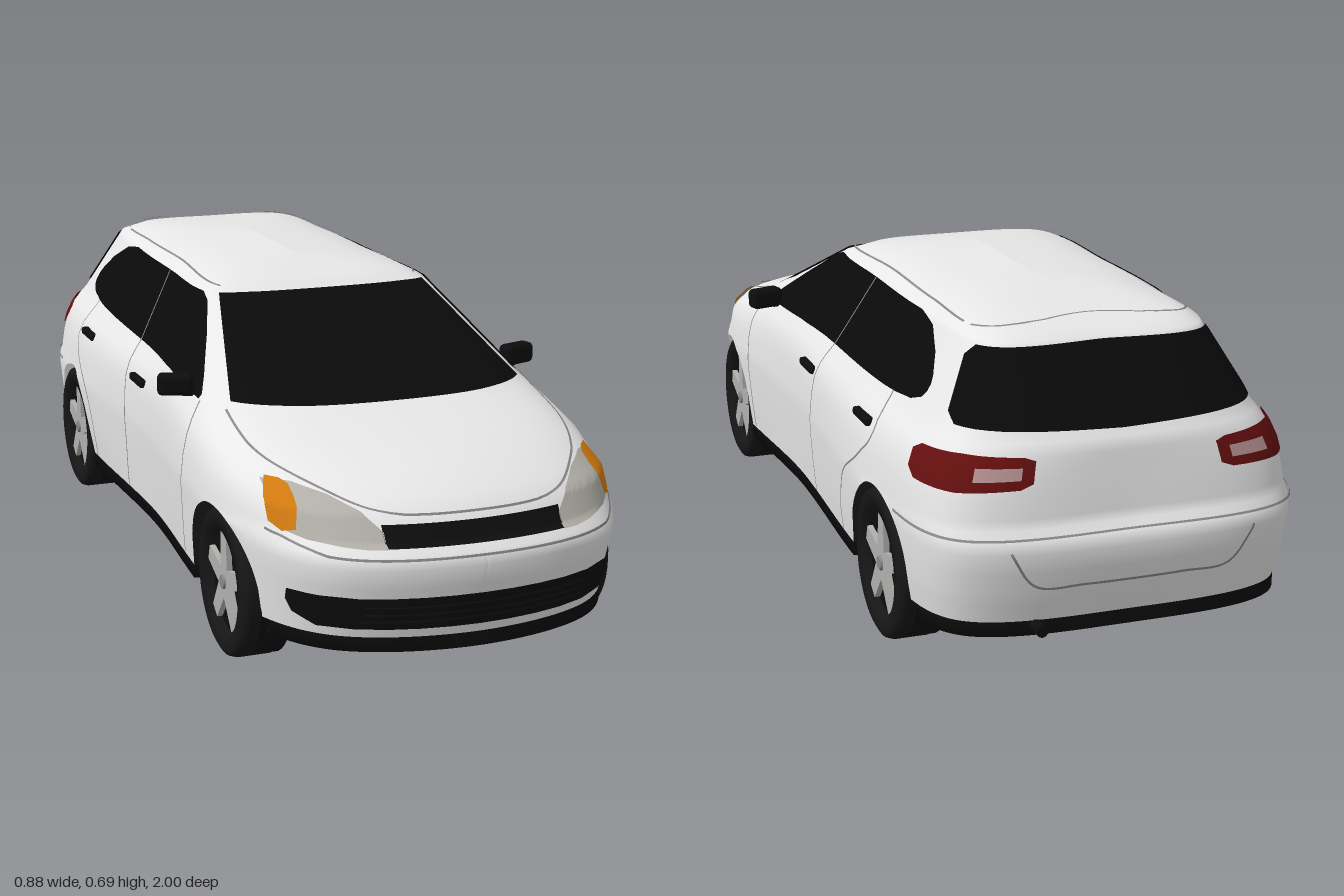
import * as THREE from 'three';
import { RoundedBoxGeometry } from 'three/addons/geometries/RoundedBoxGeometry.js';

const material = (name, color) =>
  new THREE.MeshStandardMaterial({ name, color, side: THREE.DoubleSide });

// Horizontal body outlines, from sill to roof:
// y, front z, front corner x z, front side x z, middle x, rear side x, rear corner z, rear z
const ROWS = [
  [0.135, 0.965, 0.28, 0.885, 0.395, 0.66, 0.385, 0.395, -0.91, -0.965],
  [0.2, 0.98, 0.28, 0.905, 0.402, 0.66, 0.39, 0.405, -0.925, -0.985],
  [0.28, 0.995, 0.29, 0.92, 0.408, 0.66, 0.395, 0.41, -0.94, -1.0],
  [0.305, 0.985, 0.29, 0.91, 0.409, 0.66, 0.396, 0.41, -0.935, -0.99],
  [0.32, 0.955, 0.285, 0.885, 0.407, 0.65, 0.396, 0.408, -0.92, -0.965],
  [0.37, 0.925, 0.285, 0.85, 0.4, 0.64, 0.393, 0.402, -0.91, -0.957],
  [0.41, 0.85, 0.27, 0.775, 0.385, 0.6, 0.388, 0.393, -0.9, -0.95],
  [0.44, 0.755, 0.26, 0.68, 0.37, 0.52, 0.378, 0.38, -0.89, -0.945],
  [0.465, 0.63, 0.25, 0.575, 0.352, 0.46, 0.362, 0.362, -0.88, -0.94],
  [0.485, 0.54, 0.22, 0.51, 0.337, 0.41, 0.347, 0.347, -0.865, -0.925],
  [0.64, 0.125, 0.18, 0.115, 0.25, 0.09, 0.262, 0.257, -0.785, -0.81],
  [0.662, 0.08, 0.16, 0.07, 0.21, 0.03, 0.22, 0.215, -0.73, -0.755],
  [0.677, -0.02, 0.09, -0.03, 0.13, -0.07, 0.14, 0.13, -0.57, -0.6],
  [0.685, -0.1, 0, -0.12, 0, -0.15, 0, 0, -0.35, -0.4],
];
const AXLES = [0.59, -0.63];
const WHEEL_R = 0.155, ARCH_R = 0.165;

const rings = ROWS.map(([y, zf, fx, fz, sx, sz, wm, rx, cz, zr]) => {
  const rz = 0.63 * zr;
  const half = [[fx, fz], [sx, sz], [wm, (sz + rz) / 2], [rx, rz], [0.84 * rx, cz]];
  const pts = [[0, zf], ...half, [0, zr], ...half.map(([x, z]) => [-x, z]).reverse()];
  return new THREE.CatmullRomCurve3(pts.map(([x, z]) => new THREE.Vector3(x, y, z)), true);
});

// Body surface point: u runs 0..12 round the car (0 front, 3 left, 6 rear, 9 right)
function at(u, y) {
  const t = (((u % 12) + 12) % 12) / 12;
  let k = 0;
  while (k < ROWS.length - 2 && ROWS[k + 1][0] <= y) k++;
  const f = (y - ROWS[k][0]) / (ROWS[k + 1][0] - ROWS[k][0]);
  return rings[k].getPoint(t).lerp(rings[k + 1].getPoint(t), f);
}

function normalAt(u, y) {
  const du = at(u + 0.01, y).sub(at(u - 0.01, y));
  const dy = at(u, y + 0.002).sub(at(u, y - 0.002));
  return du.cross(dy).normalize();
}

function solve(g, a, b) {
  for (let i = 0; i < 28; i++) {
    const m = (a + b) / 2;
    if (g(m) < 0) a = m; else b = m;
  }
  return a;
}

// Turn a coordinate seen from one direction into u
function toU(plane, c, y) {
  const s = c < 0 ? -1 : 1, x = Math.abs(c);
  if (plane === 'front') return s * solve((u) => at(u, y).x - x, 0, 2);
  if (plane === 'rear') { const u = solve((v) => x - at(v, y).x, 4, 6); return s > 0 ? u : 12 - u; }
  if (plane === 'side') return solve((u) => c - at(u, y).z, 0, 6);
  return c;
}

function grid(nu, nv, f) {
  const pos = [], idx = [];
  for (let j = 0; j <= nv; j++) for (let i = 0; i <= nu; i++) pos.push(...f(i, j).toArray());
  for (let j = 0; j < nv; j++) for (let i = 0; i < nu; i++) {
    const a = j * (nu + 1) + i, b = a + nu + 1;
    idx.push(a, a + 1, b + 1, a, b + 1, b);
  }
  const g = new THREE.BufferGeometry();
  g.setAttribute('position', new THREE.Float32BufferAttribute(pos, 3));
  g.setIndex(idx);
  g.computeVertexNormals();
  return g;
}

// Thin plate on the body; spans are [coordinate, low y, high y]
function patch(plane, spans, offset = 0.004, sgn = 1) {
  const segs = spans.length - 1, n = Math.max(8, Math.ceil(48 / segs));
  return grid(segs * n, 12, (i, j) => {
    const k = Math.min(Math.floor(i / n), segs - 1), f = i / n - k;
    const [c, lo, hi] = spans[k].map((v, m) => THREE.MathUtils.lerp(v, spans[k + 1][m], f));
    const y = THREE.MathUtils.lerp(lo, hi, j / 12), u = sgn * toU(plane, c, y);
    return at(u, y).addScaledVector(normalAt(u, y), offset);
  });
}

// Narrow ribbon following a path of [coordinate, y] on the body
function seam(plane, path, sgn = 1, width = 0.0025) {
  const n = 64;
  const curve = new THREE.CatmullRomCurve3(path.map(([c, y]) => new THREE.Vector3(c, y, 0)));
  const us = curve.getPoints(n).map((p) => [sgn * toU(plane, p.x, p.y), p.y]);
  const ps = us.map(([u, y]) => at(u, y));
  return grid(n, 1, (i, j) => {
    const nrm = normalAt(...us[i]);
    const tan = ps[Math.min(i + 1, n)].clone().sub(ps[Math.max(i - 1, 0)]).normalize();
    const side = nrm.clone().cross(tan).multiplyScalar(j ? width : -width);
    return ps[i].clone().add(side).addScaledVector(nrm, 0.0055);
  });
}

export function createModel() {
  const car = new THREE.Group();
  car.name = 'car';
  const paint = material('white paint', 0xe8e8e8), trim = material('black trim', 0x0d0d0d);
  const glass = material('dark glass', 0x0a0a0a), rubber = material('tyre rubber', 0x161616);
  const alloy = material('alloy', 0xb0b0ae), lamp = material('headlamp', 0xb2b0a8);
  const amber = material('amber', 0xd07a10), red = material('tail lamp red', 0x64100f);
  const clear = material('pale lens', 0xb49090), line = material('panel gap', 0x888888);
  const add = (name, geo, mat, parent = car) => {
    const m = new THREE.Mesh(geo, mat);
    m.name = name;
    parent.add(m);
    return m;
  };

  // Painted shell, its lower edge rising over the wheel arches
  const N = 432, JOIN = 0.34;
  const ys = [0.135, 0.17, 0.2, 0.24, 0.28, 0.305, 0.32, JOIN, 0.37, 0.39, 0.41, 0.425, 0.44, 0.452,
    0.465, 0.475, 0.485, 0.5, 0.55, 0.6, 0.63, 0.64, 0.65, 0.662, 0.67, 0.677, 0.681, 0.685];
  const lowEdge = (u) => {
    const z = at(u, 0.2).z;
    const d = Math.min(...AXLES.map((c) => Math.abs(z - c)));
    return d < ARCH_R ? WHEEL_R + Math.sqrt(ARCH_R ** 2 - d ** 2) : 0.135;
  };
  add('bodyShell', grid(N, ys.length - 1, (i, j) => {
    const u = (i / N) * 12;
    let y = ys[j];
    if (y < JOIN) y = THREE.MathUtils.mapLinear(y, 0.135, JOIN, lowEdge(u), JOIN);
    return at(u, y);
  }), paint);

  // Black sill band and floor, pulled in behind the wheels
  add('underbody', grid(N, 2, (i, j) => {
    const p = at((i / N) * 12, 0.135);
    if (AXLES.some((c) => Math.abs(p.z - c) < ARCH_R + 0.005)) p.x = THREE.MathUtils.clamp(p.x, -0.29, 0.29);
    if (j > 0) p.y = 0.105;
    if (j > 1) p.x = 0;
    return p;
  }), trim);

  // Windscreen and rear window
  add('windscreen', patch('u', [[-1.86, 0.484, 0.64], [1.86, 0.484, 0.64]]), glass);
  add('rearWindow', patch('u', [[4.75, 0.515, 0.61], [4.85, 0.497, 0.63], [6, 0.487, 0.634],
    [7.15, 0.497, 0.63], [7.25, 0.515, 0.61]]), glass);

  // Grille and lower air intake
  add('grille', patch('front', [[-0.185, 0.313, 0.352], [0.185, 0.313, 0.352]]), trim);
  add('lowerIntake', patch('front', [[-0.345, 0.2, 0.222], [-0.335, 0.175, 0.223], [-0.3, 0.155, 0.223],
    [0.3, 0.155, 0.223], [0.335, 0.175, 0.223], [0.345, 0.2, 0.222]]), trim);
  for (const y of [0.172, 0.187, 0.203])
    add('intakeSlat', patch('front', [[-0.23, y, y + 0.004], [0.23, y, y + 0.004]], 0.007), rubber);

  // Gaps that cross the centre line
  const across = (path, end) => [...path, ...path.slice(0, -1).reverse().map(([c, y]) => [end - c, y])];
  add('bonnetGap', seam('u', across([[-1.93, 0.472], [-1.6, 0.435], [-1, 0.402], [-0.6, 0.372], [0, 0.366]], 0)), line);
  add('frontBumperGap', seam('u', across([[-1.55, 0.325], [-1, 0.303], [0, 0.298]], 0)), line);
  add('rearBumperGap', seam('u', across([[4.35, 0.31], [5, 0.306], [6, 0.306]], 12)), line);
  add('roofGap', seam('u', across([[4.7, 0.65], [5.4, 0.661], [6, 0.664]], 12)), line);
  add('plateRecessGap', seam('rear', [[0.25, 0.285], [0.2, 0.215], [0.1, 0.21], [-0.1, 0.21], [-0.2, 0.215], [-0.25, 0.285]]), line);

  // Parts on both sides
  for (const s of [1, -1]) {
    add('sideWindow', patch('side', [[0.345, 0.472, 0.48], [0.3, 0.474, 0.51], [0.2, 0.477, 0.57],
      [0.1, 0.48, 0.625], [0.06, 0.48, 0.638], [-0.5, 0.492, 0.638], [-0.58, 0.494, 0.625],
      [-0.65, 0.5, 0.59], [-0.69, 0.513, 0.555], [-0.7, 0.525, 0.54]], 0.004, s), glass);
    add('headlamp', patch('front', [[0.183, 0.312, 0.34], [0.215, 0.312, 0.372], [0.26, 0.315, 0.393],
      [0.31, 0.321, 0.405], [0.353, 0.334, 0.402]], 0.004, s), lamp);
    add('indicator', patch('front', [[0.315, 0.385, 0.4], [0.325, 0.335, 0.406], [0.345, 0.328, 0.406],
      [0.36, 0.34, 0.375]], 0.0065, s), amber);
    add('tailLamp', patch('u', [[4.52, 0.41, 0.44], [4.6, 0.393, 0.452], [5, 0.39, 0.456],
      [5.4, 0.395, 0.452], [5.47, 0.405, 0.445]], 0.005, s), red);
    add('tailLampLens', patch('u', [[5.12, 0.41, 0.434], [5.4, 0.412, 0.434]], 0.008, s), clear);

    // Door gaps and roof edge gap
    add('frontDoorGap', seam('side', [[0.36, 0.47], [0.385, 0.42], [0.385, 0.3], [0.37, 0.145]], s), line);
    add('middleDoorGap', seam('side', [[-0.2, 0.638], [-0.175, 0.54], [-0.145, 0.42], [-0.13, 0.28], [-0.14, 0.145]], s), line);
    add('rearDoorGap', seam('side', [[-0.57, 0.495], [-0.585, 0.41], [-0.53, 0.355], [-0.44, 0.29], [-0.4, 0.2], [-0.395, 0.145]], s), line);
    add('roofEdgeGap', seam('u', [[1.9, 0.648], [3, 0.655], [4.6, 0.65]], s), line);

    // Door handles
    for (const [z, y] of [[-0.065, 0.416], [-0.505, 0.428]]) {
      const p = at(toU('side', z, y), y);
      add('doorHandle', new RoundedBoxGeometry(0.022, 0.018, 0.095, 2, 0.006), trim).position.set(s * p.x, y, z);
    }

    // Door mirror
    const mirror = new THREE.Group();
    mirror.name = 'doorMirror';
    mirror.position.set(s * 0.4, 0.493, 0.28);
    mirror.rotation.y = s * 0.3;
    add('mirrorHousing', new RoundedBoxGeometry(0.078, 0.046, 0.04, 3, 0.012), trim, mirror);
    add('mirrorArm', new THREE.BoxGeometry(0.07, 0.014, 0.028), trim, mirror).position.set(-s * 0.05, -0.016, 0);
    car.add(mirror);

    // Wheels, each built facing +z and turned outward
    for (const z of AXLES) {
      const wheel = new THREE.Group();
      wheel.name = 'wheel';
      wheel.position.set(s * 0.354, WHEEL_R, z);
      wheel.rotation.y = (s * Math.PI) / 2;
      const profile = [[0.09, -0.05], [0.14, -0.051], [0.151, -0.045], [0.155, -0.033], [0.155, 0.033],
        [0.151, 0.045], [0.14, 0.051], [0.112, 0.049], [0.106, 0.025]];
      add('tyre', new THREE.LatheGeometry(profile.map((p) => new THREE.Vector2(...p)), 48).rotateX(Math.PI / 2), rubber, wheel);
      add('wheelDish', new THREE.CylinderGeometry(0.108, 0.108, 0.06, 40).rotateX(Math.PI / 2), trim, wheel);
      const star = new THREE.Shape();
      for (let k = 0; k < 5; k++) {
        const a = Math.PI / 2 + (k * Math.PI * 2) / 5;
        const corners = [[0.104, a - 0.16], [0.104, a + 0.16], [0.036, a + Math.PI / 5]];
        corners.forEach(([r, t], i) =>
          star[k + i === 0 ? 'moveTo' : 'lineTo'](r * Math.cos(t), r * Math.sin(t)));
      }
      add('spokes', new THREE.ExtrudeGeometry(star, { depth: 0.012, bevelEnabled: false }), alloy, wheel).position.z = 0.03;
      add('hubCap', new THREE.CylinderGeometry(0.014, 0.016, 0.006, 20).rotateX(Math.PI / 2), line, wheel).position.z = 0.044;
      car.add(wheel);
      add('archLiner', new THREE.CylinderGeometry(0.163, 0.163, 0.065, 40).rotateZ(Math.PI / 2), trim)
        .position.set(s * 0.338, 0.165, z);
    }
  }

  // Exhaust tip
  add('exhaust', new THREE.CylinderGeometry(0.012, 0.012, 0.08, 16).rotateX(Math.PI / 2), trim)
    .position.set(0.19, 0.125, -0.955);

  return car;
}
